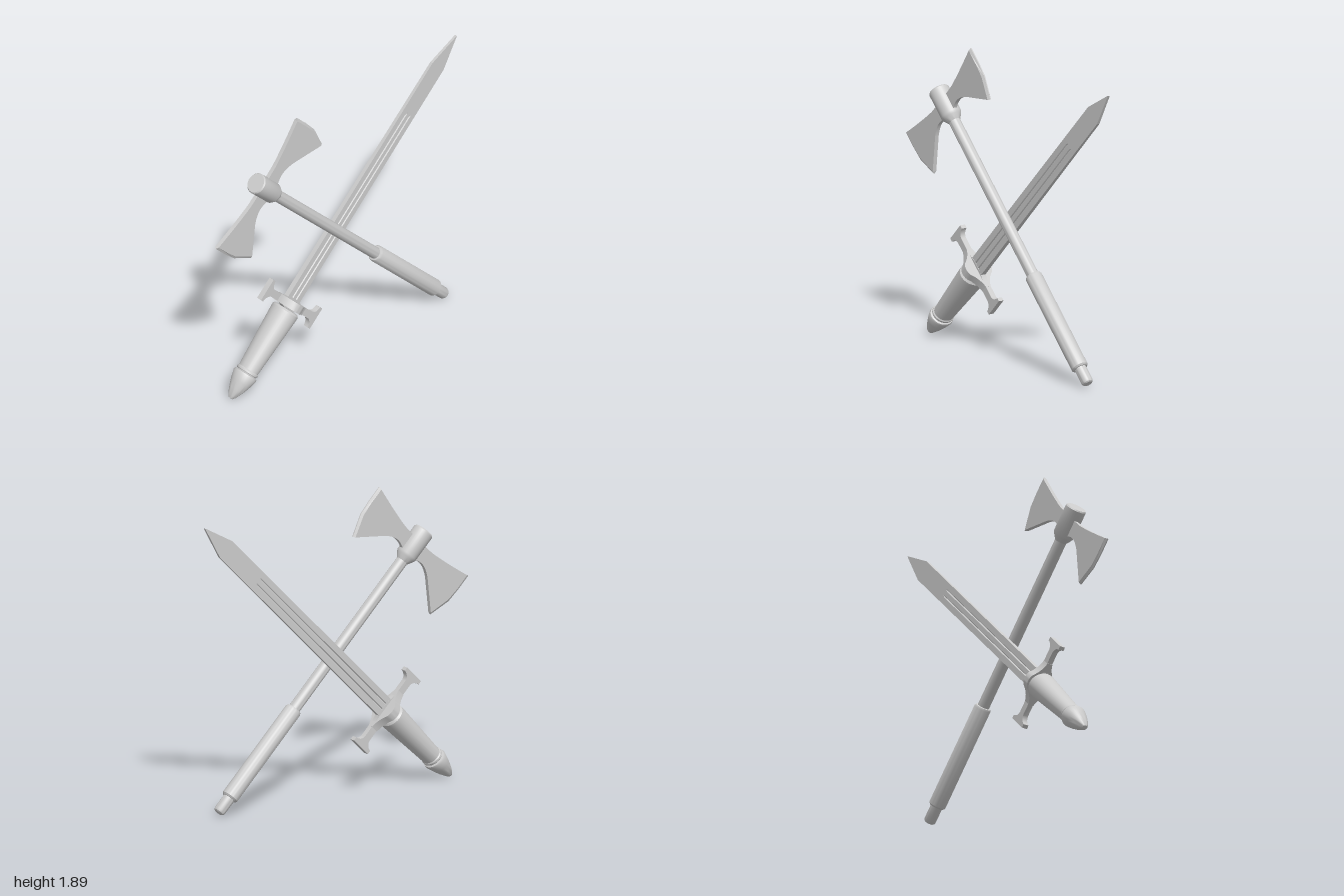
import * as THREE from 'three';
import { toCreasedNormals } from 'three/addons/utils/BufferGeometryUtils.js';

const material = new THREE.MeshStandardMaterial({ color: 0xcccccc });

function add(parent, name, geometry, crease = 0.6) {
  const mesh = new THREE.Mesh(toCreasedNormals(geometry, crease), material);
  mesh.name = name;
  parent.add(mesh);
  return mesh;
}

// Turned part; profile is [radius, height] from bottom to top
function lathe(profile) {
  return new THREE.LatheGeometry(profile.map(([r, y]) => new THREE.Vector2(r, y)), 32);
}

// Flat plate drawn in the (z, y) plane, centred on x = 0
function plate(shape, thickness) {
  const g = new THREE.ExtrudeGeometry(shape, { depth: thickness, bevelEnabled: false, curveSegments: 8 });
  return g.translate(0, 0, -thickness / 2).rotateY(-Math.PI / 2);
}

const polygon = (pts) => new THREE.Shape(pts.map(([x, y]) => new THREE.Vector2(x, y)));

// Slab blade with two V grooves on each face, lofted along y
function swordBlade() {
  const sections = [ // height, half width, half thickness, groove depth
    [0.08, 0.064, 0.017, 0.007], [1.44, 0.064, 0.011, 0.005], [1.46, 0.064, 0.011, 0],
    [1.797, 0.064, 0.0095, 0], [2.015, 0.001, 0.008, 0],
  ];
  const marks = [-0.026, -0.02, -0.014, 0.014, 0.02, 0.026];
  const position = [], index = [];
  const n = 16;
  sections.forEach(([y, w, h, d]) => {
    const half = [[-w, h]];
    marks.forEach((m, i) => half.push([m * Math.min(1, w / 0.064), i % 3 === 1 ? h - d : h]));
    half.push([w, h]);
    half.forEach(([z, x]) => position.push(-x, y, z));
    half.reverse().forEach(([z, x]) => position.push(x, y, z));
  });
  for (let i = 0; i < sections.length - 1; i++) {
    for (let j = 0; j < n; j++) {
      const a = i * n + j, b = i * n + (j + 1) % n;
      index.push(a, b, b + n, a, b + n, a + n);
    }
  }
  const g = new THREE.BufferGeometry();
  g.setAttribute('position', new THREE.Float32BufferAttribute(position, 3));
  g.setIndex(index);
  return g;
}

function createSword() {
  const sword = new THREE.Group();
  sword.name = 'sword';

  add(sword, 'swordBlade', swordBlade(), 0.15).position.z = 0.004;

  // Oval grip and pointed pommel
  add(sword, 'pommel', lathe([
    [0, -0.58], [0.014, -0.578], [0.026, -0.56], [0.045, -0.515], [0.061, -0.465],
    [0.073, -0.415], [0.07, -0.403], [0.055, -0.398], [0.055, -0.385],
  ])).scale.x = 1.12;
  add(sword, 'swordGrip', lathe([
    [0, -0.396], [0.062, -0.396], [0.066, -0.391], [0.066, -0.38], [0.061, -0.373],
    [0.083, 0.035], [0.083, 0.05], [0.074, 0.062], [0, 0.062],
  ])).scale.x = 1.12;

  // Crossguard arms with T-shaped ends
  for (const side of [1, -1]) {
    const s = new THREE.Shape();
    s.moveTo(0, 0.058);
    s.lineTo(0.05, 0.062);
    s.quadraticCurveTo(0.08, 0.077, 0.12, 0.077);
    s.lineTo(0.215, 0.077);
    s.quadraticCurveTo(0.25, 0.068, 0.256, 0.028);
    s.lineTo(0.28, 0.028);
    s.lineTo(0.28, 0.173);
    s.lineTo(0.256, 0.173);
    s.quadraticCurveTo(0.25, 0.13, 0.215, 0.124);
    s.lineTo(0.12, 0.124);
    s.quadraticCurveTo(0.08, 0.124, 0.05, 0.138);
    s.lineTo(0, 0.14);
    const arm = add(sword, 'guardArm', plate(s, 0.036), 0.5);
    if (side < 0) arm.rotation.y = Math.PI;
  }

  // Flared centre of the guard
  const c = new THREE.Shape();
  c.moveTo(0.018, -0.14);
  c.quadraticCurveTo(0.03, -0.085, 0.082, -0.04);
  c.quadraticCurveTo(0.105, 0, 0.082, 0.04);
  c.quadraticCurveTo(0.03, 0.085, 0.018, 0.14);
  c.lineTo(-0.018, 0.14);
  c.quadraticCurveTo(-0.03, 0.085, -0.082, 0.04);
  c.quadraticCurveTo(-0.105, 0, -0.082, -0.04);
  c.quadraticCurveTo(-0.03, -0.085, -0.018, -0.14);
  const centre = new THREE.ExtrudeGeometry(c, { depth: 0.052, bevelEnabled: false, curveSegments: 8 });
  add(sword, 'guardCentre', centre.rotateX(-Math.PI / 2).translate(0, 0.073, 0));
  return sword;
}

function createAxe() {
  const axe = new THREE.Group();
  axe.name = 'doubleAxe';

  add(axe, 'axeHead', lathe([
    [0, 1.58], [0.06, 1.58], [0.066, 1.572], [0.066, 1.395], [0.058, 1.378], [0.036, 1.345],
  ].reverse()));
  add(axe, 'axeShaft', lathe([[0.037, 0.18], [0.037, 1.38]]));
  add(axe, 'axeGrip', lathe([
    [0, -0.476], [0.044, -0.476], [0.053, -0.466], [0.053, 0.198], [0.047, 0.21], [0.036, 0.212],
  ]));
  add(axe, 'endKnob', lathe([
    [0, -0.588], [0.025, -0.588], [0.033, -0.582], [0.037, -0.57], [0.037, -0.46],
  ]));

  // Two bearded blades, each a plate with a wedge along its cutting edge
  const thick = 0.027;
  const inner = [[0.452, 1.57], [0.453, 1.47], [0.446, 1.378], [0.397, 1.242]];
  const outer = [[0.468, 1.576], [0.468, 1.47], [0.461, 1.373], [0.409, 1.235]];
  const s = new THREE.Shape();
  s.moveTo(0, 1.51);
  s.lineTo(0.14, 1.513);
  s.quadraticCurveTo(0.25, 1.526, ...inner[0]);
  inner.slice(1).forEach(([x, y]) => s.lineTo(x, y));
  s.lineTo(0.22, 1.384);
  s.quadraticCurveTo(0.165, 1.42, 0.125, 1.42);
  s.quadraticCurveTo(0.085, 1.42, 0.05, 1.397);
  s.lineTo(0, 1.397);
  for (const side of [1, -1]) {
    const blade = new THREE.Group();
    blade.name = 'axeBlade';
    add(blade, 'bladePlate', plate(s, thick), 0.4);
    const edge = plate(polygon([...outer, ...[...inner].reverse()]), thick);
    const p = edge.attributes.position;
    for (let i = 0; i < p.count; i++) {
      const onRim = outer.some(([z, y]) => Math.hypot(p.getZ(i) - z, p.getY(i) - y) < 1e-4);
      if (onRim) p.setX(i, p.getX(i) * 0.25);
    }
    add(blade, 'cuttingEdge', edge, 0.3);
    if (side < 0) blade.rotation.y = Math.PI;
    axe.add(blade);
  }
  return axe;
}

export function createModel() {
  const model = new THREE.Group();
  model.name = 'crossedWeapons';
  // The two weapons cross at right angles
  const sword = createSword();
  sword.rotation.x = -Math.PI / 4;
  sword.position.set(-0.012, 0.4225, 0.4225);
  const axe = createAxe();
  axe.rotation.x = Math.PI / 4;
  axe.position.set(0.04, 0.444, -0.444);
  model.add(sword, axe);
  return model;
}
